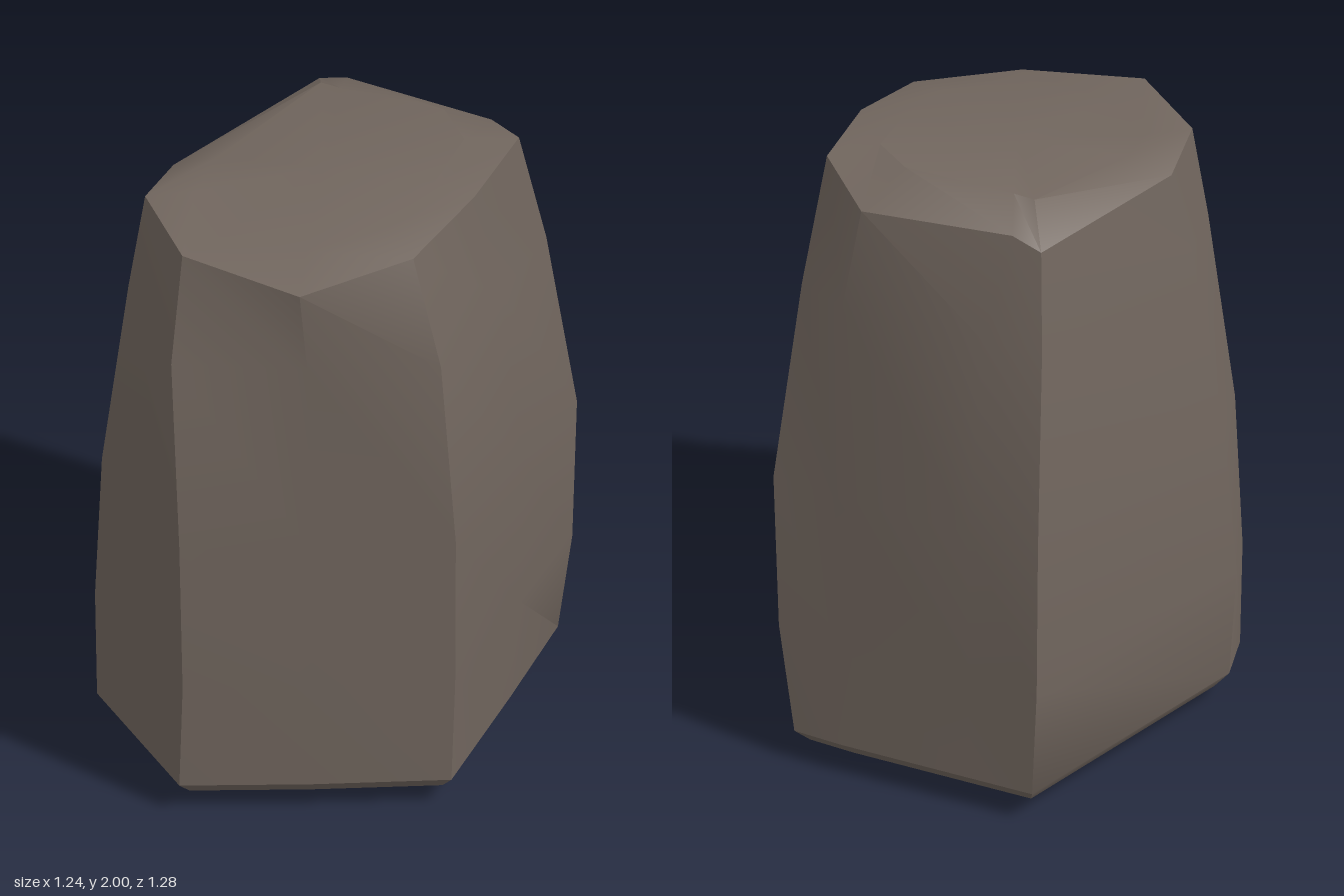
import * as THREE from 'three';
import { toCreasedNormals } from 'three/addons/utils/BufferGeometryUtils.js';

// Ten corners per cross-section as [x, z], running back, right, front, left
const SECTIONS = [
  [0.1, [[-0.2, -0.63], [0, -0.59], [0.4, -0.51], [0.55, -0.47], [0.54, -0.1], [0.52, 0.34], [0.15, 0.5], [-0.21, 0.64], [-0.59, 0.3], [-0.6, 0.13]]],
  [0.45, [[-0.215, -0.635], [0, -0.59], [0.42, -0.5], [0.6, -0.455], [0.57, -0.1], [0.53, 0.335], [0.15, 0.5], [-0.2, 0.64], [-0.6, 0.29], [-0.62, 0.14]]],
  [0.95, [[-0.22, -0.64], [0, -0.59], [0.42, -0.5], [0.62, -0.44], [0.58, -0.1], [0.53, 0.33], [0.14, 0.5], [-0.21, 0.64], [-0.575, 0.3], [-0.585, 0.13]]],
  [1.58, [[-0.21, -0.55], [-0.03, -0.53], [0.41, -0.46], [0.555, -0.36], [0.53, -0.05], [0.49, 0.345], [0.13, 0.49], [-0.25, 0.6], [-0.5, 0.28], [-0.5, 0.08]]],
];

// Uneven rim of the top face as [x, y, z]
const RIM = [
  [-0.19, 1.88, -0.48], [-0.1, 1.915, -0.465], [0.36, 1.905, -0.43], [0.5, 1.98, -0.28], [0.47, 1.96, 0.01],
  [0.38, 1.9, 0.28], [0.11, 1.845, 0.5], [-0.26, 1.885, 0.48], [-0.46, 1.89, 0.25], [-0.45, 1.86, 0.04],
];

function stoneGeometry() {
  const topHeight = (x, z) => 1.94 + 0.08 * x - 0.12 * z;
  const rings = SECTIONS.map(([y, pts]) => pts.map(([x, z]) => [x, y, z]));
  // Narrow bevel under the sides
  rings.unshift(rings[0].map(([x, , z]) => [x * 0.93, 0.055, z * 0.93]));
  // Rim, then a tilted, slightly raised inner ring
  rings.push(RIM);
  rings.push(RIM.map(([x, , z]) => [x * 0.72, topHeight(x * 0.72, z * 0.72), z * 0.72]));

  const n = RIM.length;
  const positions = rings.flat(2);
  const base = rings.length * n;
  positions.push(0, 0, 0.08, 0, topHeight(0, 0), 0);

  const index = [];
  for (let j = 0; j < n; j++) {
    const k = (j + 1) % n;
    for (let i = 0; i < rings.length - 1; i++) {
      const a = i * n + j, b = i * n + k, c = b + n, d = a + n;
      index.push(a, d, c, a, c, b);
    }
    // Underside and top fans
    index.push(base, j, k);
    const last = (rings.length - 1) * n;
    index.push(last + j, base + 1, last + k);
  }

  const geometry = new THREE.BufferGeometry();
  geometry.setAttribute('position', new THREE.Float32BufferAttribute(positions, 3));
  geometry.setIndex(index);
  return toCreasedNormals(geometry, 0.6);
}

export function createModel() {
  const stone = new THREE.MeshStandardMaterial({ color: 0x71665e });
  stone.name = 'brown grey stone';
  const rock = new THREE.Mesh(stoneGeometry(), stone);
  rock.name = 'rock';
  const group = new THREE.Group();
  group.name = 'standing stone';
  group.add(rock);
  return group;
}
